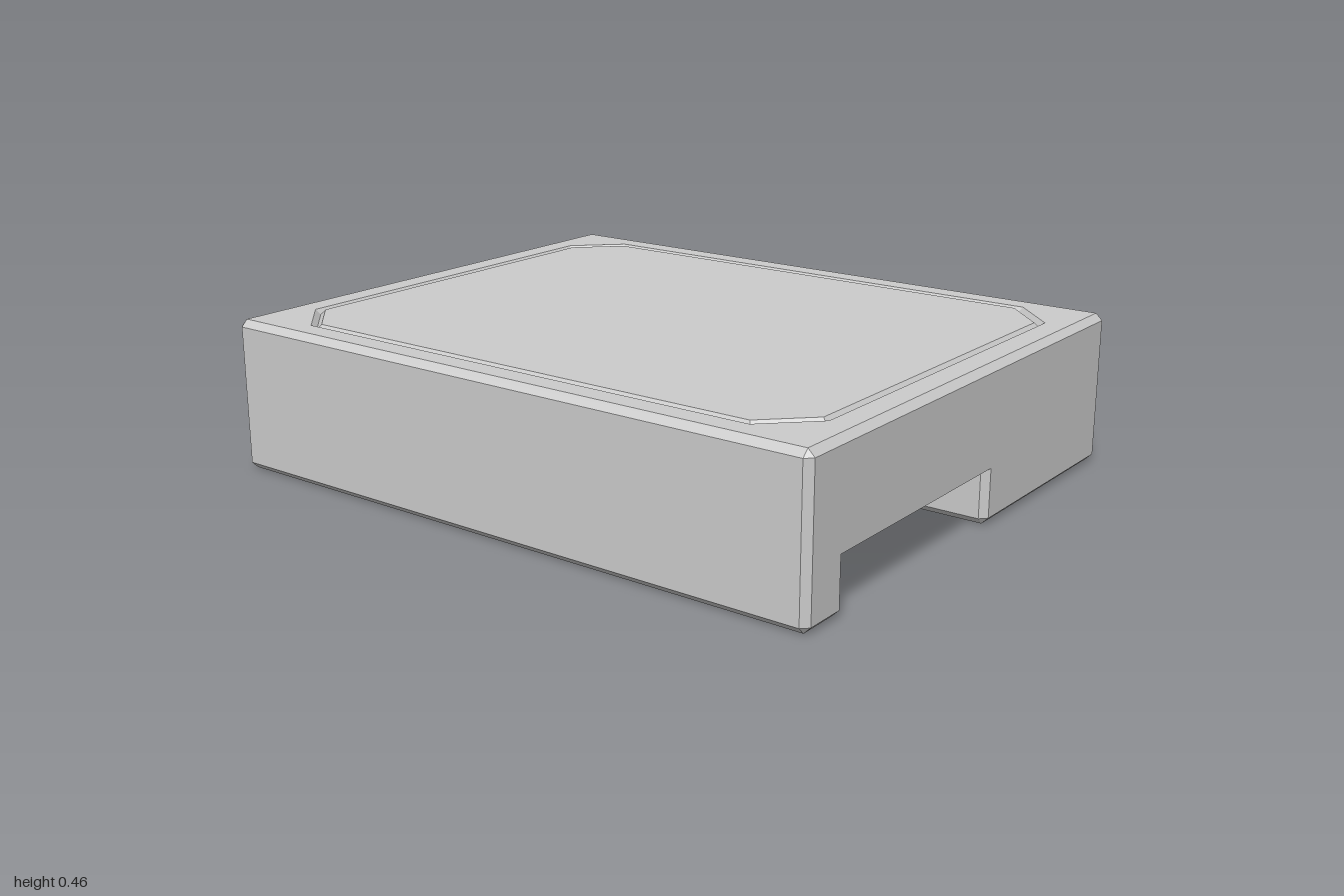
import * as THREE from 'three';

const W = 0.81, D = 1, H = 0.46, C = 0.02;          // half width, half depth, height, chamfer
const N = { x0: -0.645, x1: 0.085, back: 0.53, top: 0.15 }; // notch

const material = new THREE.MeshStandardMaterial({ color: 0xcccccc, flatShading: true });

// Joins successive rings of [x, y, z] points; rings run +x along the front, then -z.
function loft(rings) {
  const out = [];
  for (let r = 0; r < rings.length - 1; r++) {
    const a = rings[r], b = rings[r + 1];
    for (let i = 0; i < a.length; i++) {
      const j = (i + 1) % a.length;
      addTriangle(out, a[i], a[j], b[j]);
      addTriangle(out, a[i], b[j], b[i]);
    }
  }
  return out;
}

// Skips triangles that have collapsed to a line.
function addTriangle(out, a, b, c) {
  const [p, q, r] = [a, b, c].map(v => new THREE.Vector3(...v));
  if (q.sub(p).cross(r.sub(p)).length() > 1e-8) out.push(...a, ...b, ...c);
}

// Flat horizontal face, with optional holes, facing up or down.
function cap(ring, holes = [], up = true) {
  const unique = ring.filter((p, i) => {
    const n = ring[(i + 1) % ring.length];
    return Math.hypot(p[0] - n[0], p[2] - n[2]) > 1e-6;
  });
  const flat = pts => pts.map(p => new THREE.Vector2(p[0], -p[2]));
  const holeLoops = holes.map(h => [...h].reverse());
  const faces = THREE.ShapeUtils.triangulateShape(flat(unique), holeLoops.map(flat));
  const all = [...unique, ...holeLoops.flat()];
  const out = [];
  for (const f of faces) {
    const [a, b, c] = f.map(i => all[i]);
    const ccw = (b[0] - a[0]) * (a[2] - c[2]) - (c[0] - a[0]) * (a[2] - b[2]) > 0;
    if (ccw === up) addTriangle(out, a, b, c);
    else addTriangle(out, a, c, b);
  }
  return out;
}

function makeMesh(name, ...parts) {
  const g = new THREE.BufferGeometry();
  g.setAttribute('position', new THREE.Float32BufferAttribute(parts.flat(), 3));
  g.computeVertexNormals();
  const mesh = new THREE.Mesh(g, material);
  mesh.name = name;
  return mesh;
}

// Body outline at height y: inset pulls it in, flare is the notch's widening,
// lip the z of the notch's front edge and back the z of its rear wall.
function outline(y, inset, flare, lip, back) {
  const w = W - inset, d = D - inset, c = C - inset;
  const l = N.x0 - C, r = N.x1 + C;
  const il = N.x0 - flare, ir = N.x1 + flare;
  return [
    [-w + c, d], [l, d], [il, lip], [il, back], [ir, back], [ir, lip], [r, d], [w - c, d],
    [w, d - c], [w, -d + c], [w - c, -d], [-w + c, -d], [-w, -d + c], [-w, d - c],
  ].map(([x, z]) => [x, y, z]);
}

// Rectangle with cut corners, for the groove in the top.
function octagon(w, d, cut, y) {
  return [
    [-w + cut, d], [w - cut, d], [w, d - cut], [w, -d + cut],
    [w - cut, -d], [-w + cut, -d], [-w, -d + cut], [-w, d - cut],
  ].map(([x, z]) => [x, y, z]);
}

export function createModel() {
  const group = new THREE.Group();
  group.name = 'case';

  // Chamfered body with the notch under its front edge
  const rings = [
    outline(0, C, C, D - C, N.back),
    outline(C, 0, 0, D - C, N.back),
    outline(N.top, 0, 0, D - C, N.back),
    outline(N.top, 0, 0, D - C, D - C),   // notch ceiling
    outline(N.top + 0.015, 0, C, D, D),   // bevel above the opening
    outline(H - C, 0, C, D, D),
  ];
  group.add(makeMesh('body', loft(rings), cap(rings[0], [], false)));

  // Top bevel, rim, V-shaped groove and inner panel
  const topRing = octagon(W - C, D - C, 0, H);
  const shoulder = octagon(W, D, C, H - C);
  const outer = octagon(0.725, 0.91, 0.137, H);
  const valley = octagon(0.712, 0.897, 0.132, H - 0.015);
  const inner = octagon(0.699, 0.884, 0.127, H);
  group.add(makeMesh('topRim', loft([shoulder, topRing]), cap(topRing, [outer])));
  group.add(makeMesh('topGroove', loft([outer, valley, inner])));
  group.add(makeMesh('topPanel', cap(inner)));

  return group;
}
